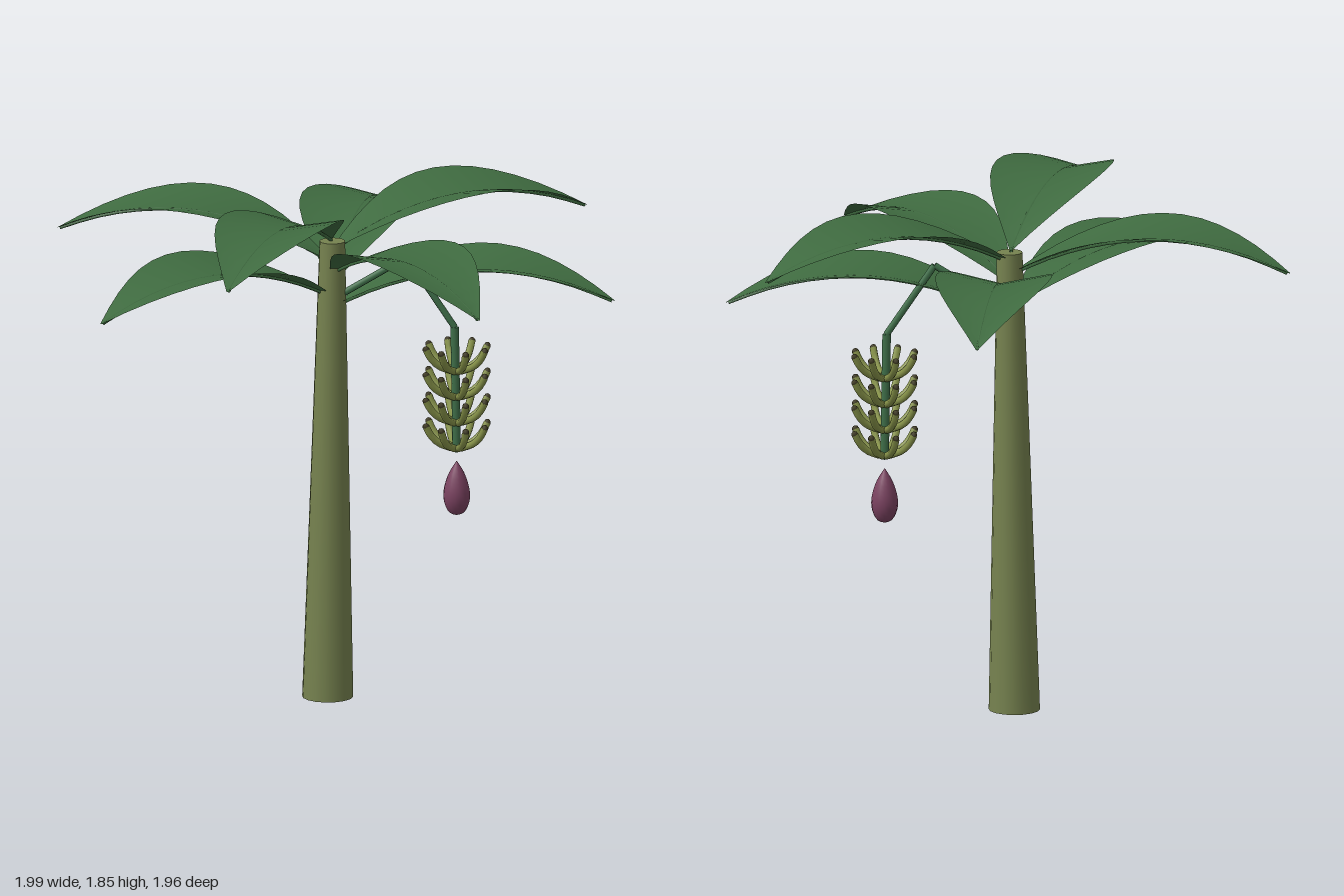
import * as THREE from 'three';

const material = (name, color, side = THREE.FrontSide) => {
  const m = new THREE.MeshStandardMaterial({ color, side });
  m.name = name;
  return m;
};

const AXIS_Z = 0.014;   // trunk and bunch share this depth
const BUNCH_X = 0.435;  // hanging line of the fruit bunch

// Height of a leaf's midrib above its base, t from base (0) to tip (1)
const archHeight = t => 0.55 * t - 0.5 * t * t;

function trunkGeometry() {
  const g = new THREE.CylinderGeometry(0.045, 0.09, 1.65, 16, 8);
  g.translate(0, 0.825, 0);
  const p = g.attributes.position;
  for (let i = 0; i < p.count; i++) p.setX(i, p.getX(i) - 0.02 + 0.01 * p.getY(i)); // slight lean
  g.computeBoundingSphere();
  return g;
}

// Arched blade along +x, folded up into a shallow trough
function bladeGeometry() {
  const g = new THREE.PlaneGeometry(1, 2, 14, 2).rotateX(-Math.PI / 2);
  const p = g.attributes.position;
  for (let i = 0; i < p.count; i++) {
    const t = p.getX(i) + 0.5, u = p.getZ(i);
    const half = 0.004 + 0.2 * Math.sin(Math.PI * t);
    p.setXYZ(i, t, archHeight(t) + 0.22 * half * Math.abs(u), u * half);
  }
  g.computeVertexNormals();
  return g;
}

function midribGeometry() {
  const points = [];
  for (let i = 0; i <= 8; i++) points.push(new THREE.Vector3(i / 8 * 0.99, archHeight(i / 8 * 0.99) - 0.004, 0));
  return new THREE.TubeGeometry(new THREE.CatmullRomCurve3(points), 14, 0.006, 5);
}

// Straight round rod between two points
function rod(name, a, b, r, mat) {
  const from = new THREE.Vector3(...a), dir = new THREE.Vector3(...b).sub(from);
  const m = new THREE.Mesh(new THREE.CylinderGeometry(r, r, dir.length(), 8), mat);
  m.position.copy(from).addScaledVector(dir, 0.5);
  m.quaternion.setFromUnitVectors(new THREE.Vector3(0, 1, 0), dir.normalize());
  m.name = name;
  return m;
}

export function createModel() {
  const group = new THREE.Group();
  group.name = 'fruitingPlant';
  const bark = material('trunk green', 0x76824f);
  const leafGreen = material('leaf green', 0x3f6b40, THREE.DoubleSide);
  const stalkGreen = material('stalk green', 0x40704a);
  const fruitGreen = material('fruit green', 0x88944a);
  const tipBrown = material('fruit tip brown', 0x3f3a22);
  const budPurple = material('bud purple', 0x7a4260);

  const add = (name, geometry, mat, parent = group) => {
    const m = new THREE.Mesh(geometry, mat);
    m.name = name;
    parent.add(m);
    return m;
  };

  add('trunk', trunkGeometry(), bark).position.z = AXIS_Z;

  // Seven leaves spiralling up the crown by the golden angle
  const blade = bladeGeometry(), midrib = midribGeometry();
  for (let i = 0; i < 7; i++) {
    const leaf = new THREE.Group();
    leaf.name = 'leaf';
    leaf.position.set(-0.008, 1.41 + 0.041 * i, AXIS_Z - 0.004);
    leaf.rotation.y = -i * THREE.MathUtils.degToRad(137.5);
    add('leafBlade', blade, leafGreen, leaf);
    add('midrib', midrib, leafGreen, leaf);
    group.add(leaf);
  }

  // Bent fruit stalk
  const path = [[0, 1.44], [0.26, 1.6], [0.428, 1.35], [BUNCH_X, 0.9]];
  for (let i = 0; i < 3; i++) {
    group.add(rod('fruitStalk', [...path[i], AXIS_Z], [...path[i + 1], AXIS_Z], i < 2 ? 0.012 : 0.015, stalkGreen));
  }

  // Four tiers of fruit curving out and up
  const fruitCurve = new THREE.CatmullRomCurve3([
    new THREE.Vector3(0.02, 0.01, 0), new THREE.Vector3(0.065, 0.03, 0),
    new THREE.Vector3(0.095, 0.06, 0), new THREE.Vector3(0.112, 0.092, 0),
  ]);
  const fruit = new THREE.TubeGeometry(fruitCurve, 6, 0.013, 7);
  const fruitTip = new THREE.SphereGeometry(0.0125, 7, 5);
  const fruitBase = new THREE.SphereGeometry(0.013, 7, 5);
  for (let tier = 0; tier < 4; tier++) {
    for (let k = 0; k < 8; k++) {
      const finger = new THREE.Group();
      finger.name = 'fruit';
      finger.position.set(BUNCH_X, 0.905 + 0.093 * tier, AXIS_Z);
      finger.rotation.y = (k + 0.5) * Math.PI / 4;
      add('fruitBody', fruit, fruitGreen, finger);
      add('fruitBase', fruitBase, fruitGreen, finger).position.set(0.02, 0.01, 0);
      add('fruitTip', fruitTip, tipBrown, finger).position.set(0.112, 0.092, 0);
      group.add(finger);
    }
  }

  // Teardrop flower bud
  const profile = new THREE.SplineCurve([
    [0.001, 0.67], [0.028, 0.682], [0.045, 0.72], [0.045, 0.765], [0.028, 0.82], [0.001, 0.865],
  ].map(p => new THREE.Vector2(...p)));
  add('flowerBud', new THREE.LatheGeometry(profile.getPoints(16), 16), budPurple)
    .position.set(BUNCH_X, 0, AXIS_Z);

  return group;
}
